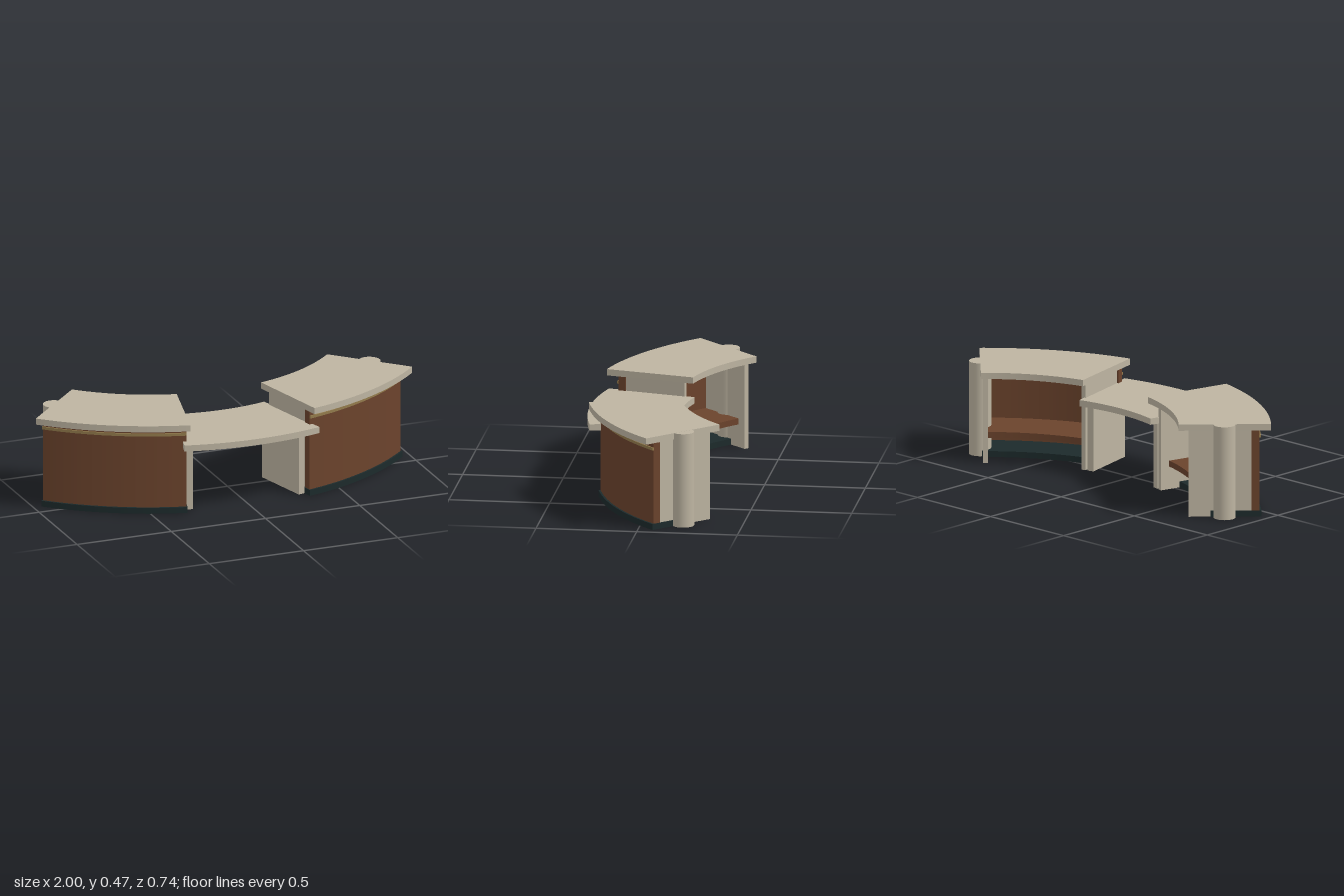
import * as THREE from 'three';

const stone = new THREE.MeshStandardMaterial({ color: 0xbdb4a1 });
stone.name = 'warm grey stone';
const wood = new THREE.MeshStandardMaterial({ color: 0x6b432c });
wood.name = 'brown wood';
const brass = new THREE.MeshStandardMaterial({ color: 0x937b4c });
brass.name = 'brass';
const plinthDark = new THREE.MeshStandardMaterial({ color: 0x1c2a2b });
plinthDark.name = 'dark plinth';

const CENTRE_Z = -1.045; // common centre of every arc
const rad = THREE.MathUtils.degToRad;

// Ring sector between two radii, angles in degrees from +z towards +x
function sector(name, material, r0, r1, a0, a1, y0, y1) {
  const s = rad(a0 - 90), e = rad(a1 - 90);
  const shape = new THREE.Shape();
  shape.absarc(0, 0, r1, s, e, false);
  shape.absarc(0, 0, r0, e, s, true);
  shape.closePath();
  const geo = new THREE.ExtrudeGeometry(shape, { depth: y1 - y0, bevelEnabled: false, curveSegments: 20 });
  geo.rotateX(-Math.PI / 2);
  const mesh = new THREE.Mesh(geo, material);
  mesh.name = name;
  mesh.position.set(0, y0, CENTRE_Z);
  return mesh;
}

// Upright board along a radius, shifted sideways from it by offset
function radialPanel(name, angle, offset, thickness, r0, r1, height) {
  const geo = new THREE.BoxGeometry(thickness, height, r1 - r0);
  geo.translate(offset, height / 2, (r0 + r1) / 2);
  const mesh = new THREE.Mesh(geo, stone);
  mesh.name = name;
  mesh.rotation.y = rad(angle);
  mesh.position.z = CENTRE_Z;
  return mesh;
}

function cabinet(side) {
  const g = new THREE.Group();
  g.name = side > 0 ? 'leftCabinet' : 'rightCabinet';
  const arc = (name, mat, r0, r1, a0, a1, y0, y1) =>
    g.add(side > 0 ? sector(name, mat, r0, r1, a0, a1, y0, y1) : sector(name, mat, r0, r1, -a1, -a0, y0, y1));

  arc('counterTop', stone, 0.957, 1.412, 13.5, 45, 0.443, 0.475);
  arc('frontWall', wood, 1.317, 1.355, 13.95, 44.45, 0.03, 0.443);
  arc('trimStrip', brass, 1.354, 1.362, 13.95, 44.5, 0.403, 0.417);
  arc('plinth', plinthDark, 1.115, 1.365, 13.75, 44.55, 0, 0.03);
  arc('shelf', wood, 1.055, 1.318, 15.2, 43.2, 0.115, 0.145);

  // Side boards
  g.add(radialPanel('innerSidePanel', side * 14.1, side * 0.016, 0.025, 1.007, 1.317, 0.443));
  g.add(radialPanel('outerSidePanel', side * 44.35, side * -0.0125, 0.025, 1.007, 1.317, 0.443));

  // Round column set into the outer end
  const column = new THREE.Mesh(new THREE.CylinderGeometry(0.055, 0.055, 0.4745, 32), stone);
  column.name = 'endColumn';
  const r = 1.183;
  column.position.set(side * r * Math.SQRT1_2, 0.4745 / 2, CENTRE_Z + r * Math.SQRT1_2);
  g.add(column);
  return g;
}

export function createModel() {
  const model = new THREE.Group();
  model.name = 'curvedReceptionDesk';
  for (const side of [1, -1]) {
    model.add(cabinet(side));
    // Leg board carrying the lower desk
    model.add(radialPanel('deskSupport', side * 13.9, side * -0.02, 0.034, 1.007, 1.317, 0.34));
  }
  // Lower desk bridging the two cabinets
  model.add(sector('middleDesk', stone, 0.957, 1.412, -14.7, 14.7, 0.338, 0.37));
  return model;
}
